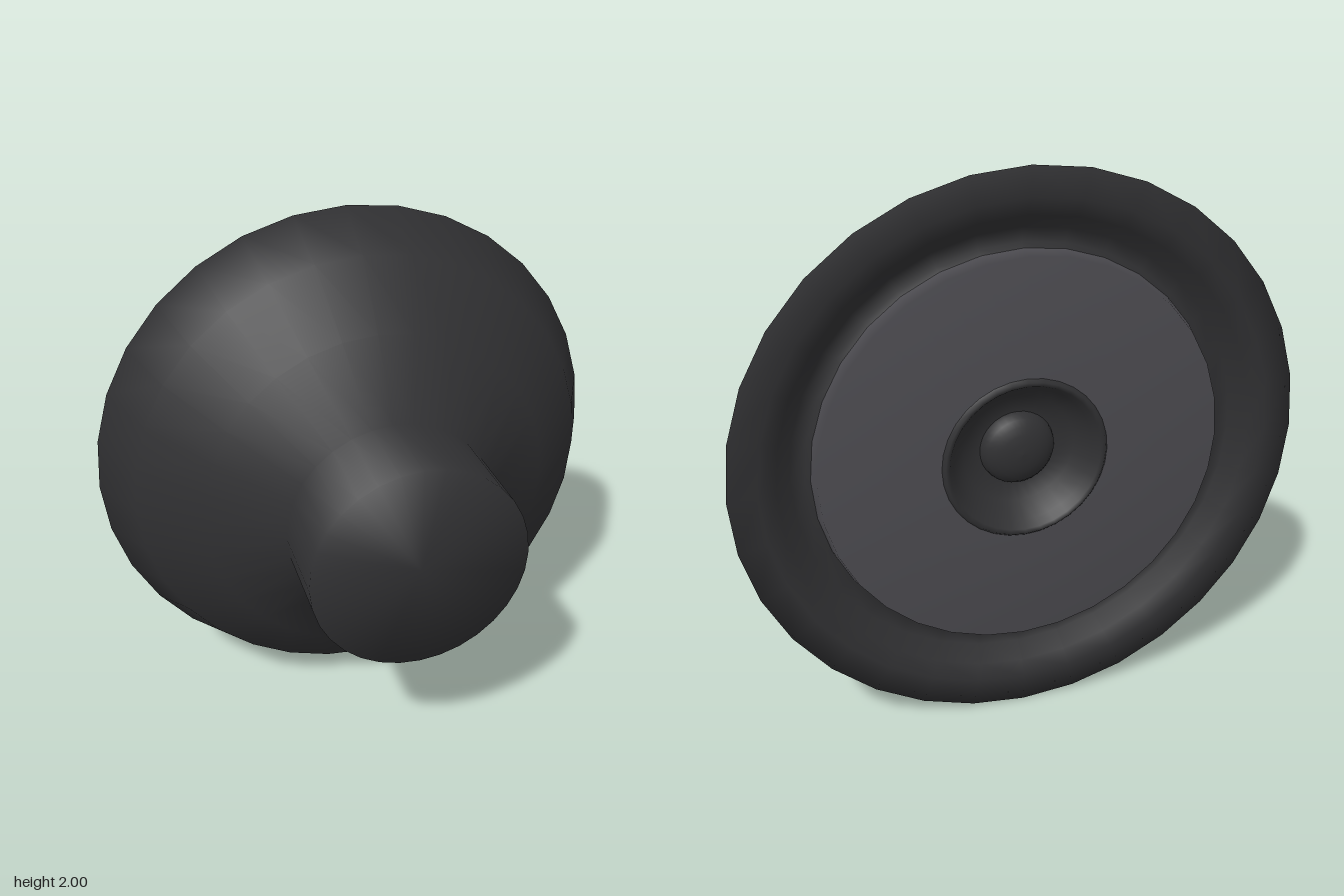
import * as THREE from 'three';

const SIDES = 32;
const dark = new THREE.MeshStandardMaterial({ color: 0x303032, side: THREE.DoubleSide });
const grey = new THREE.MeshStandardMaterial({ color: 0x4c4b50, side: THREE.DoubleSide });

// Revolve a profile of [radius, z] pairs about the z axis
function turned(name, profile, material) {
  const points = profile.map(([r, z]) => new THREE.Vector2(r, z));
  const geometry = new THREE.LatheGeometry(points, SIDES);
  geometry.rotateX(Math.PI / 2);
  const mesh = new THREE.Mesh(geometry, material);
  mesh.name = name;
  return mesh;
}

export function createModel() {
  const speaker = new THREE.Group();
  speaker.name = 'loudspeaker';
  speaker.position.y = 1;

  // One smooth shell: groove, rolled surround, flared basket and magnet drum
  speaker.add(turned('surroundBasketAndMagnet', [
    [0.7, -0.4], [0.74, -0.365], [0.79, -0.37], [0.84, -0.425], [0.9, -0.445],
    [1, -0.445], [0.885, -0.235], [0.66, -0.055], [0.395, 0.12],
    [0.395, 0.445], [0, 0.445],
  ], dark));

  // Flat ring of the diaphragm with softly turned edges
  speaker.add(turned('diaphragm', [
    [0.285, -0.445], [0.295, -0.432], [0.71, -0.43], [0.725, -0.375],
  ], grey));

  // Dished centre with a rounded lip
  speaker.add(turned('centreDish', [
    [0, -0.325], [0.13, -0.33], [0.2, -0.355], [0.25, -0.41],
    [0.27, -0.44], [0.285, -0.445], [0.297, -0.43],
  ], dark));

  // Small dome in the dish
  const dome = [];
  for (let i = 0; i <= 6; i++) {
    const a = (i / 6) * Math.PI / 2;
    dome.push([0.135 * Math.sin(a), -0.33 - 0.07 * Math.cos(a)]);
  }
  speaker.add(turned('centreDome', dome, dark));

  const model = new THREE.Group();
  model.name = 'model';
  model.add(speaker);
  return model;
}
